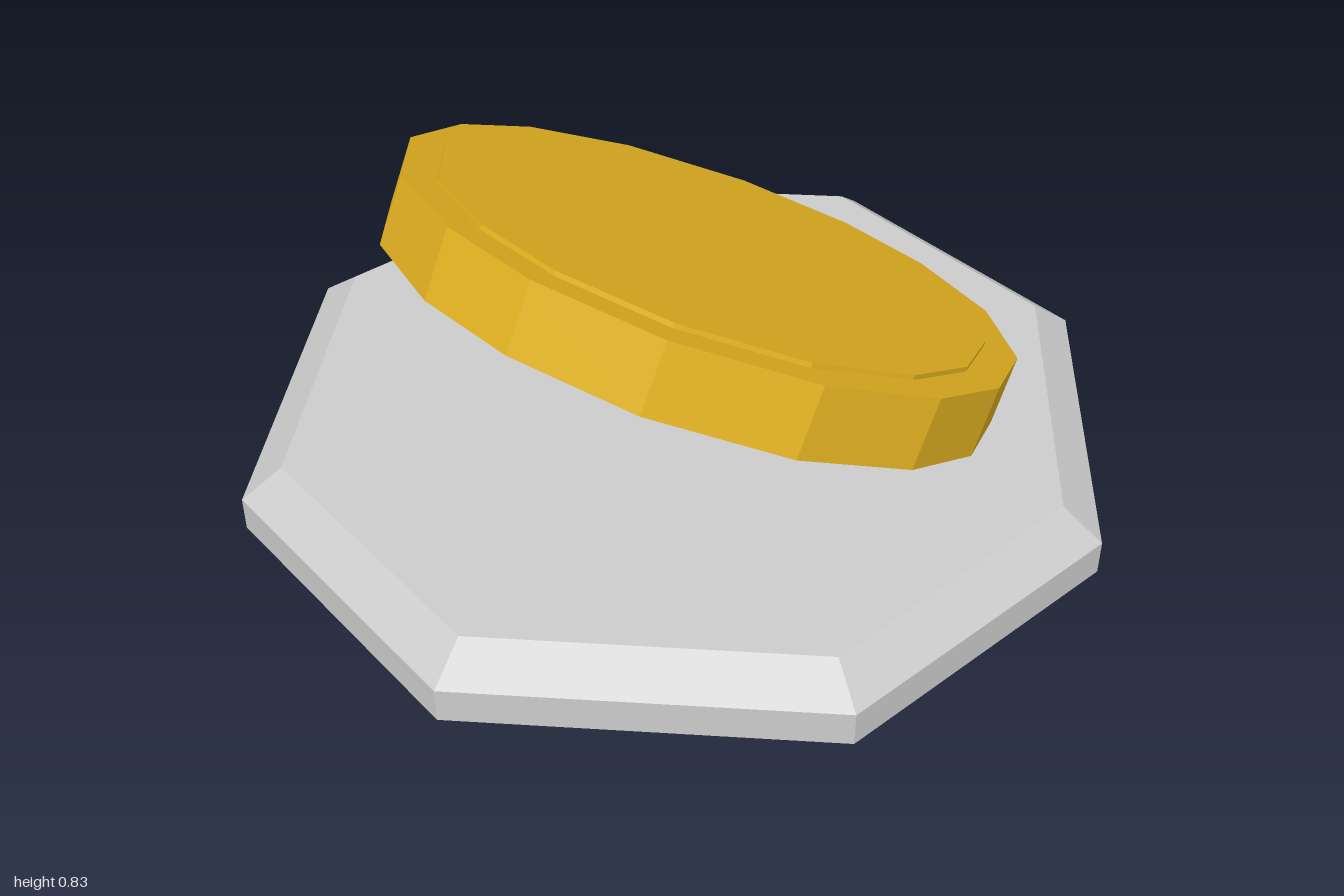
import * as THREE from 'three';

// Closed solid from one outline ([x, z], clockwise from above) and levels of [scale, y]
function loft(outline, levels) {
  const pos = [];
  const n = outline.length;
  const at = (i, [s, y]) => [outline[i % n][0] * s, y, outline[i % n][1] * s];
  const bottom = levels[0];
  const top = levels[levels.length - 1];
  for (let i = 0; i < n; i++) {
    for (let k = 0; k < levels.length - 1; k++) {
      const a0 = at(i, levels[k]), b0 = at(i + 1, levels[k]);
      const a1 = at(i, levels[k + 1]), b1 = at(i + 1, levels[k + 1]);
      pos.push(...a0, ...a1, ...b1, ...a0, ...b1, ...b0);
    }
    pos.push(0, top[1], 0, ...at(i + 1, top), ...at(i, top));
    pos.push(0, bottom[1], 0, ...at(i, bottom), ...at(i + 1, bottom));
  }
  const geometry = new THREE.BufferGeometry();
  geometry.setAttribute('position', new THREE.Float32BufferAttribute(pos, 3));
  geometry.computeVertexNormals();
  return geometry;
}

function part(name, geometry, color) {
  const mesh = new THREE.Mesh(geometry, new THREE.MeshStandardMaterial({ color, flatShading: true }));
  mesh.name = name;
  return mesh;
}

export function createModel() {
  const model = new THREE.Group();
  model.name = 'buttonOnPlate';

  // Eight-sided base plate with a bevelled top edge
  const c = 0.39;
  const octagon = [[-c, -1], [c, -1], [1, -c], [1, c], [c, 1], [-c, 1], [-1, c], [-1, -c]];
  model.add(part('basePlate', loft(octagon, [[1, 0], [1, 0.085], [0.908, 0.155]]), 0xcccccc));

  // Sixteen-sided disc: slightly uneven facets, the second half repeats the first
  const half = [4.2, 26.8, 51.5, 73.3, 92.9, 116.2, 141.5, 164.7];
  const radius = 0.765;
  const circle = [...half, ...half.map((a) => a + 180)].map((deg) => {
    const a = THREE.MathUtils.degToRad(deg);
    return [radius * Math.sin(a), -radius * Math.cos(a)];
  });

  // Disc leaning with its front edge raised and its back edge sunk into the plate
  const disc = new THREE.Group();
  disc.name = 'tiltedDisc';
  disc.add(part('discBody', loft(circle, [[1, -0.171], [1, 0]]), 0xe0b020));
  disc.add(part('discFace', loft(circle, [[0.89, -0.02], [0.89, 0.012]]), 0xe0b020));
  disc.position.set(0, 0.507, -0.1);
  disc.rotation.x = THREE.MathUtils.degToRad(-24.8);
  model.add(disc);

  return model;
}
